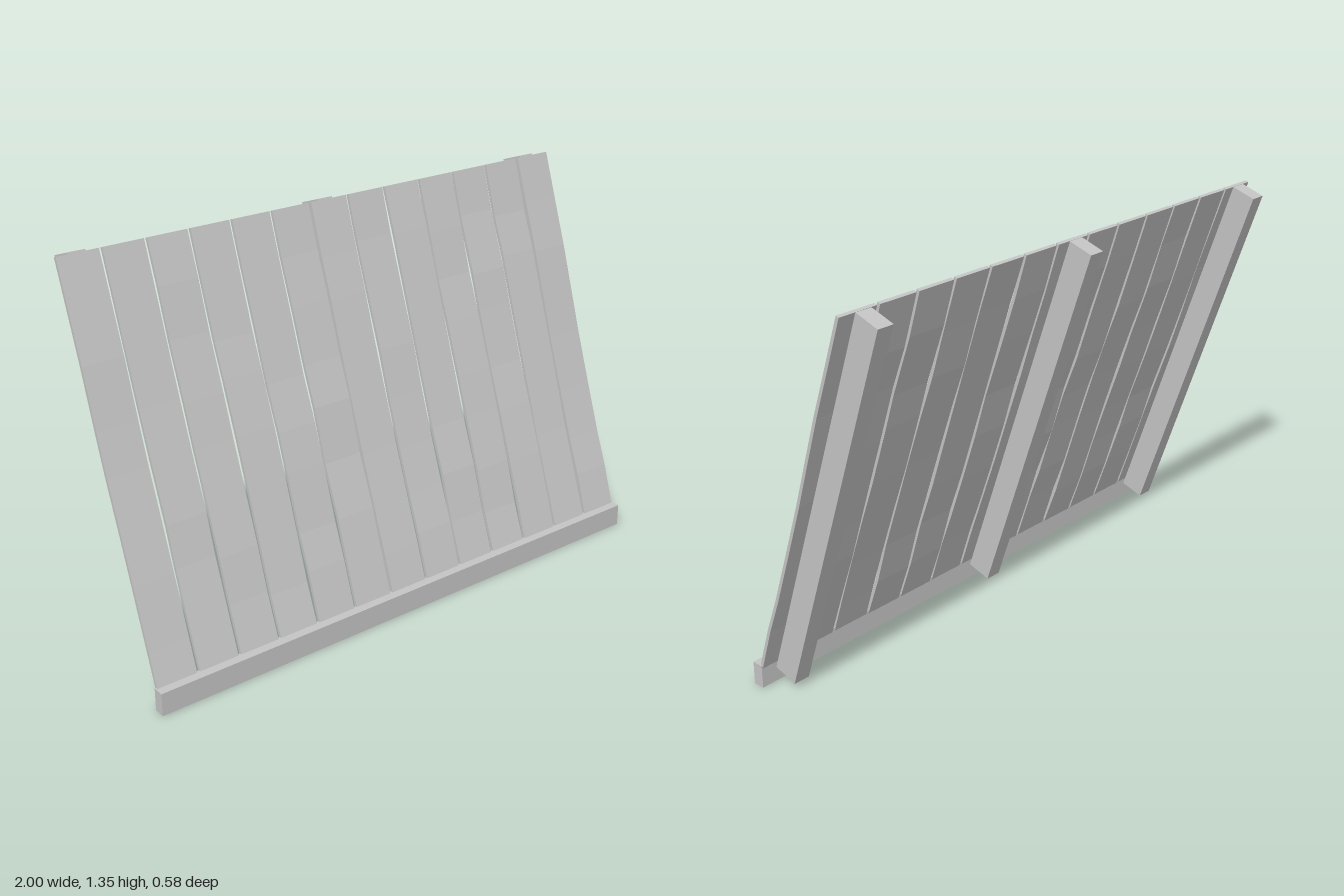
import * as THREE from 'three';

const grey = new THREE.MeshStandardMaterial({ color: 0xc4c4c4 });
grey.name = 'plain grey';

// Small seeded generator for the unevenness of the boards
function seeded(seed) {
  return () => {
    seed = (seed * 16807) % 2147483647;
    return seed / 2147483647;
  };
}

function box(name, w, h, d, x, y, z) {
  const mesh = new THREE.Mesh(new THREE.BoxGeometry(w, h, d), grey);
  mesh.name = name;
  mesh.position.set(x, y, z);
  return mesh;
}

// A thin, slightly bent board: side profile extruded across its width
function boardGeometry(width, length, thickness, random) {
  const steps = 8;
  const back = [];
  for (let i = 0; i <= steps; i++) {
    const jitter = i > 0 && i < steps ? (random() - 0.5) * 0.06 : 0;
    const bend = i > 0 && i < steps ? random() * 0.008 : 0.006;
    back.push(new THREE.Vector2(bend, length * i / steps + jitter));
  }
  const front = back.map((p) => new THREE.Vector2(p.x + thickness, p.y)).reverse();
  const geometry = new THREE.ExtrudeGeometry(new THREE.Shape([...back, ...front]), {
    depth: width, bevelEnabled: false,
  });
  geometry.translate(0, 0, -width / 2);
  geometry.rotateY(-Math.PI / 2);
  return geometry;
}

export function createModel() {
  const model = new THREE.Group();
  model.name = 'leaningBoardPanel';

  // Rail along the ground at the front
  model.add(box('bottomRail', 2, 0.08, 0.04, 0, 0.04, 0.267));

  // Everything else leans backwards from the rail
  const panel = new THREE.Group();
  panel.name = 'leaningPanel';
  panel.position.set(0, 0.05, 0.247);
  panel.rotation.x = -Math.atan2(0.45, 1.295);
  model.add(panel);

  // Upright boards with narrow gaps
  const random = seeded(4711);
  const count = 13;
  const pitch = 1.848 / (count - 1);
  for (let i = 0; i < count; i++) {
    const board = new THREE.Mesh(boardGeometry(0.143, 1.366, 0.012, random), grey);
    board.name = 'board' + (i + 1);
    board.position.x = (i - (count - 1) / 2) * pitch;
    panel.add(board);
  }

  // Posts behind the boards
  [['rightPost', -0.918], ['middlePost', -0.003], ['leftPost', 0.911]].forEach(([name, x]) => {
    panel.add(box(name, 0.06, 1.371, 0.09, x, 0.6855, -0.045));
  });

  return model;
}
